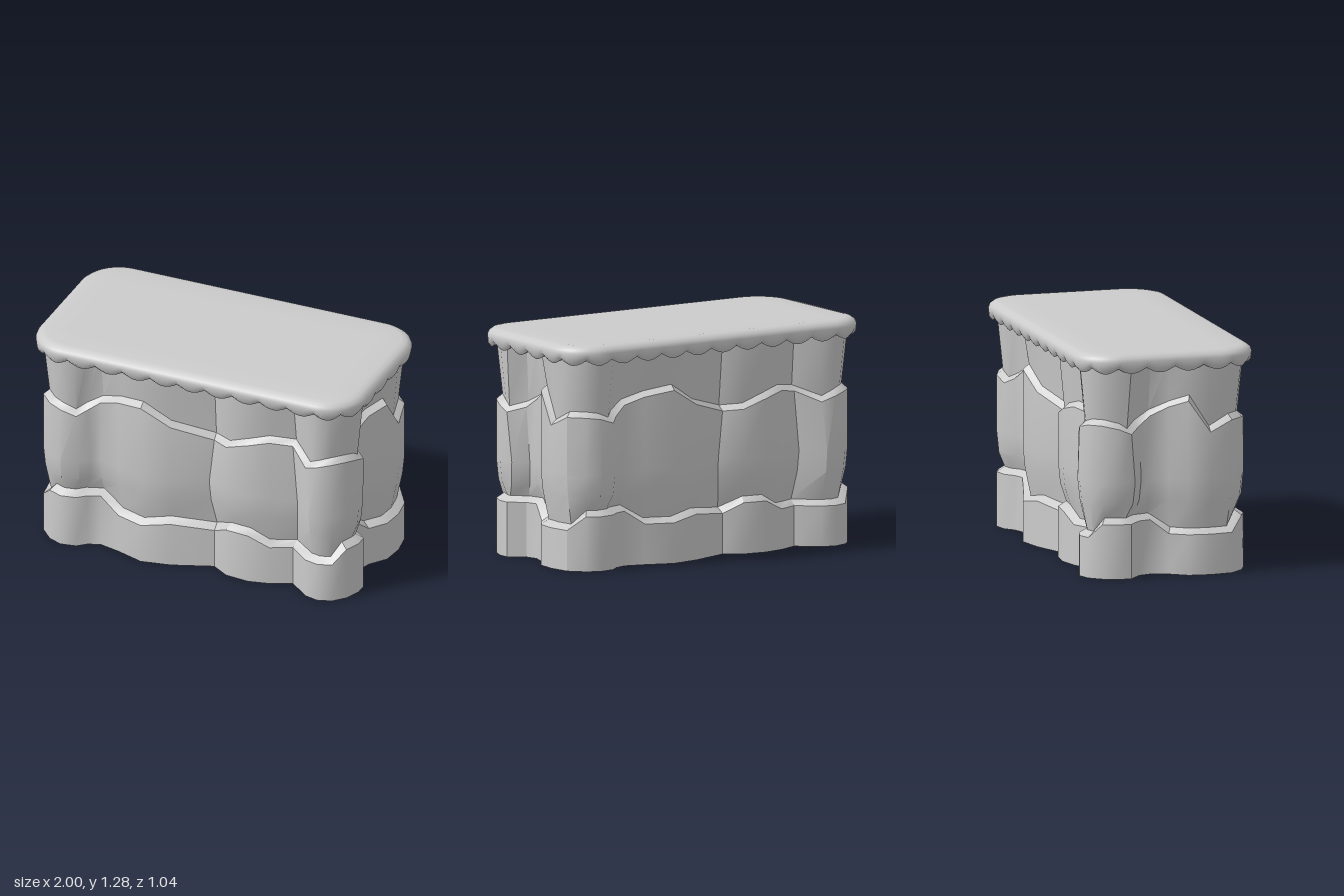
import * as THREE from 'three';
import { toCreasedNormals } from 'three/addons/utils/BufferGeometryUtils.js';

const material = new THREE.MeshStandardMaterial({ color: 0xcccccc, side: THREE.DoubleSide });

// Skins a stack of closed rings (arrays of Vector3, bottom to top) into one surface.
function loft(rings, crease) {
  const n = rings[0].length;
  const position = rings.flat().flatMap((p) => [p.x, p.y, p.z]);
  const index = [];
  for (let j = 0; j < rings.length - 1; j++) {
    for (let i = 0; i < n; i++) {
      const a = j * n + i, b = j * n + ((i + 1) % n);
      index.push(a, b, b + n, a, b + n, a + n);
    }
  }
  const geometry = new THREE.BufferGeometry();
  geometry.setAttribute('position', new THREE.Float32BufferAttribute(position, 3));
  geometry.setIndex(index);
  return toCreasedNormals(geometry, crease);
}

// Half of the rock outline: x, z, lower ledge height, upper ledge height, sideways drift at mid height.
const HALF = [
  [-0.70, 0.46, 0.31, 0.83, 0.02],
  [-0.65, 0.415, 0.31, 0.86, 0.02],
  [-0.58, 0.39, 0.31, 0.91],
  [-0.46, 0.42, 0.23, 0.95],
  [-0.30, 0.475, 0.23, 0.98],
  [-0.13, 0.445, 0.26, 0.88],
  [0.10, 0.36, 0.23, 0.81, -0.03],
  [0.20, 0.425, 0.29, 0.82],
  [0.34, 0.44, 0.29, 0.87],
  [0.46, 0.415, 0.23, 0.90],
  [0.58, 0.36, 0.23, 0.88, 0.03],
  [0.70, 0.46, 0.23, 0.82, 0.03],
  [0.78, 0.48, 0.23, 0.85],
  [0.86, 0.455, 0.23, 0.87],
  [0.92, 0.39, 0.31, 0.87],
  [0.955, 0.30, 0.31, 0.85],
  [0.955, 0.23, 0.31, 0.82, 0.03],
  [0.87, 0.16, 0.31, 0.85, 0.02],
  [0.85, 0.09, 0.31, 0.90],
  [0.88, -0.01, 0.23, 0.95],
  [0.95, -0.105, 0.23, 0.99],
  [0.965, -0.23, 0.23, 0.81],
  [0.945, -0.36, 0.23, 0.87],
  [0.87, -0.44, 0.31, 0.87],
  [0.79, -0.475, 0.31, 0.86],
];

// Rock body: three tiers of bulging stones, each stepped in above a wavy ledge, open below.
function rockGeometry() {
  const outline = [...HALF, ...HALF.map(([x, z, ...rest]) => [-x, -z, ...rest])];
  const n = outline.length;
  const ring = (inset, height, drift = 0) => outline.map((p, i) => {
    const a = outline[(i + n - 1) % n], b = outline[(i + 1) % n];
    const t = new THREE.Vector2(b[0] - a[0], b[1] - a[1]).normalize();
    const s = drift * (p[4] ?? 0);
    // (-t.y, t.x) points outwards
    return new THREE.Vector3(p[0] + t.x * s + t.y * inset, height(p), p[1] + t.y * s - t.x * inset);
  });
  return loft([
    ring(0, () => 0),
    ring(0, (p) => p[2]),
    ring(0.045, (p) => p[2] + 0.03),
    ring(0.012, () => 0.42, 0.8),
    ring(0, () => 0.54, 1),
    ring(0, (p) => p[3]),
    ring(0.035, (p) => p[3] + 0.03),
    ring(0, () => 1.22),
  ], 0.6);
}

// Cap: rounded slab whose rim hangs down in small scallops.
function capGeometry() {
  const hx = 1, hz = 0.52, r = 0.23, lobes = 34, steps = 8;
  const cx = hx - r, cz = hz - r;
  const path = new THREE.Path();
  path.absarc(cx, -cz, r, -Math.PI / 2, 0, false);
  path.absarc(cx, cz, r, 0, Math.PI / 2, false);
  path.absarc(-cx, cz, r, Math.PI / 2, Math.PI, false);
  path.absarc(-cx, -cz, r, Math.PI, Math.PI * 1.5, false);
  path.closePath();
  const points = path.getSpacedPoints(lobes * steps).slice(0, -1);
  const ring = (inset, y, droop = 0) => points.map((p, i) => {
    const core = new THREE.Vector2(THREE.MathUtils.clamp(p.x, -cx, cx), THREE.MathUtils.clamp(p.y, -cz, cz));
    const q = p.clone().sub(core).setLength(r - inset).add(core);
    const lobe = Math.abs(Math.sin((Math.PI * i) / steps));
    return new THREE.Vector3(q.x, y - droop * lobe, -q.y);
  });
  const centre = (y) => points.map(() => new THREE.Vector3(0, y, 0));
  return loft([
    centre(1.215),
    ring(0.13, 1.215),
    ring(0.05, 1.205, 0.025),
    ring(0.022, 1.2, 0.03),
    ring(0.004, 1.217, 0.025),
    ring(0, 1.238),
    ring(0.008, 1.258),
    ring(0.03, 1.274),
    ring(0.06, 1.28),
    ring(0.2, 1.28),
    centre(1.28),
  ], 0.7);
}

export function createModel() {
  const group = new THREE.Group();
  group.name = 'rockBlock';
  for (const [name, geometry] of [['rockBody', rockGeometry()], ['scallopedCap', capGeometry()]]) {
    const mesh = new THREE.Mesh(geometry, material);
    mesh.name = name;
    group.add(mesh);
  }
  return group;
}
